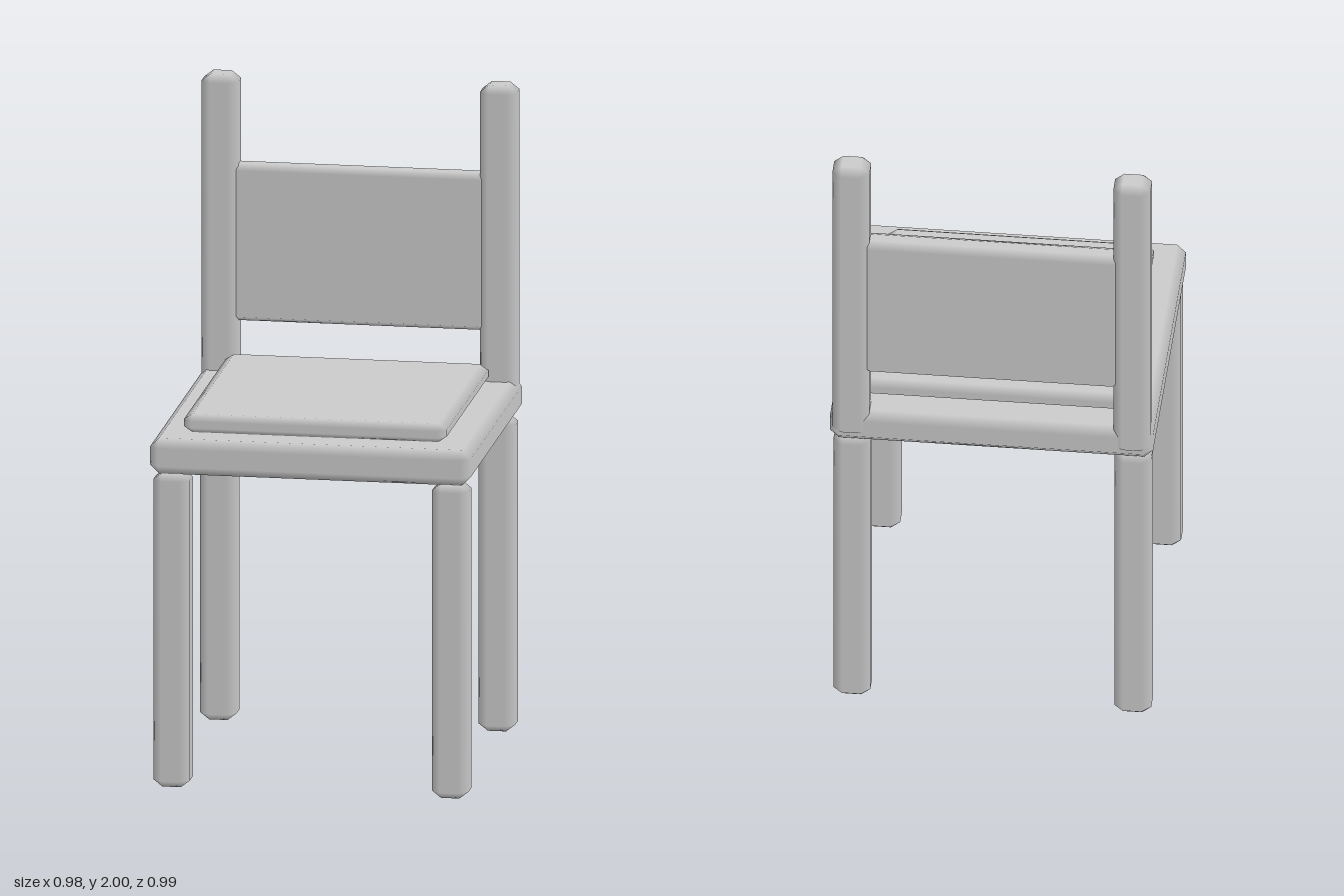
import * as THREE from 'three';
import { ConvexGeometry } from 'three/addons/geometries/ConvexGeometry.js';

// Box with one-step bevels; normals follow the flat faces so the bevels shade smoothly
function bevelBox(min, max, bevel) {
  const half = min.map((v, i) => (max[i] - v) / 2);
  const points = [];
  for (const sx of [-1, 1]) for (const sy of [-1, 1]) for (const sz of [-1, 1]) {
    const sign = [sx, sy, sz];
    for (let axis = 0; axis < 3; axis++) {
      points.push(new THREE.Vector3(...sign.map((s, i) => s * (half[i] - (i === axis ? 0 : bevel[i])))));
    }
  }
  const geometry = new ConvexGeometry(points);
  const pos = geometry.attributes.position;
  for (let i = 0; i < pos.count; i++) {
    const p = [pos.getX(i), pos.getY(i), pos.getZ(i)];
    geometry.attributes.normal.setXYZ(i, ...p.map((v, k) => (Math.abs(v) > half[k] - 1e-4 ? Math.sign(v) : 0)));
  }
  return geometry.translate(...min.map((v, i) => (v + max[i]) / 2));
}

export function createModel() {
  const model = new THREE.Group();
  model.name = 'chair';
  const grey = new THREE.MeshStandardMaterial({ color: 0xcccccc });
  grey.name = 'light grey';

  const add = (name, min, max, bevel) => {
    const mesh = new THREE.Mesh(bevelBox(min, max, bevel), grey);
    mesh.name = name;
    model.add(mesh);
  };

  // Seat slab and cushion
  add('seat', [-0.49, 0.975, -0.487], [0.49, 1.085, 0.495], [0.027, 0.027, 0.027]);
  add('cushion', [-0.402, 1.085, -0.4], [0.402, 1.142, 0.405], [0.026, 0.018, 0.026]);

  // Legs and back posts, mirrored left and right
  const postBevel = [0.028, 0.022, 0.028];
  for (const [side, x] of [['left', 0.426], ['right', -0.426]]) {
    const x0 = x - 0.056, x1 = x + 0.056;
    add(side + 'FrontLeg', [x0, 0, 0.378], [x1, 0.976, 0.488], postBevel);
    add(side + 'BackLeg', [x0, 0, -0.47], [x1, 0.976, -0.36], postBevel);
    add(side + 'BackPost', [x0, 1.0, -0.497], [x1, 2, -0.387], postBevel);
  }

  // Backrest panel
  add('backrest', [-0.385, 1.235, -0.488], [0.385, 1.722, -0.4], [0.014, 0.016, 0.028]);

  return model;
}
